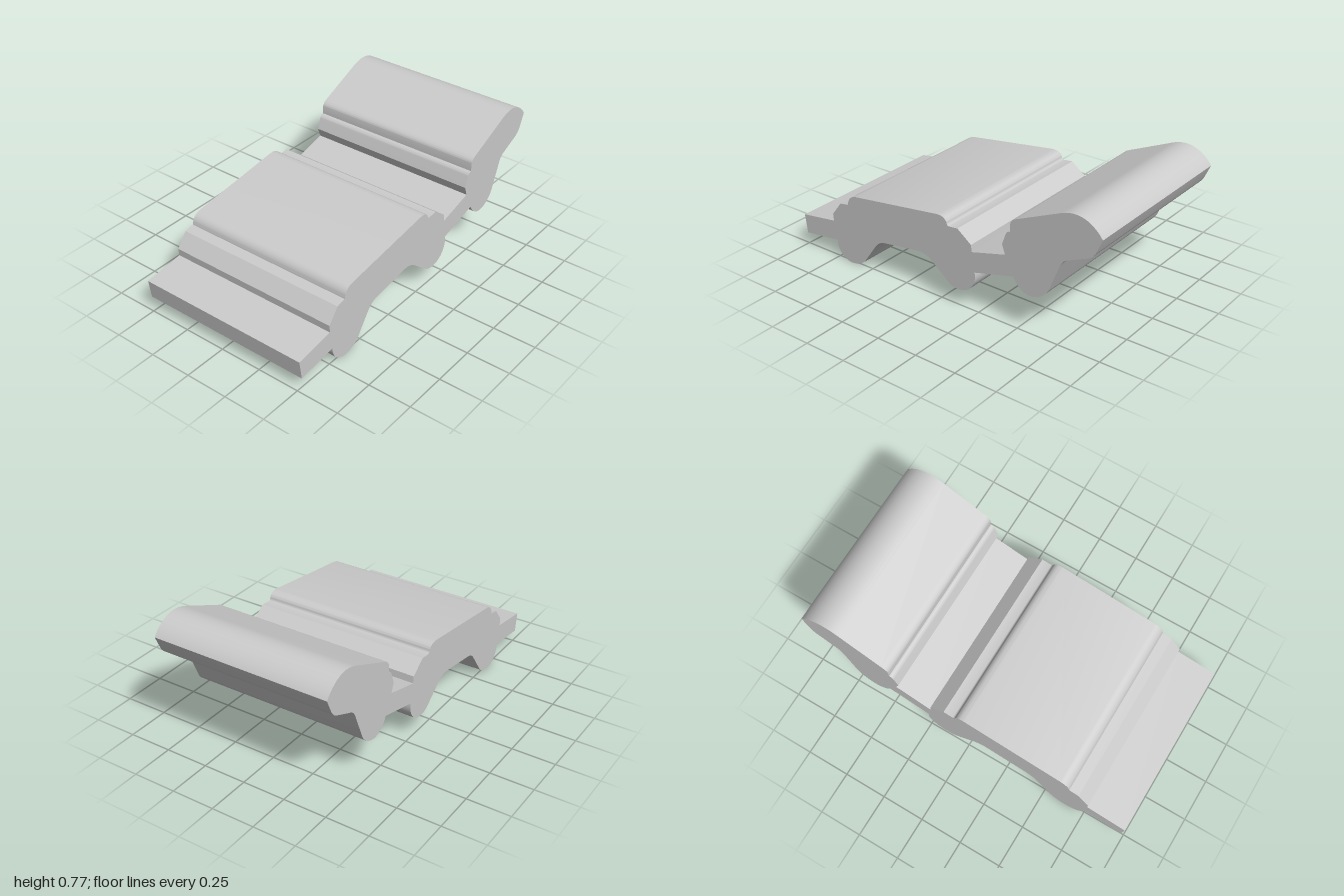
import * as THREE from 'three';
import { toCreasedNormals } from 'three/addons/utils/BufferGeometryUtils.js';

const DEPTH = 1.036;

// Each step is a straight line [x, y] or a rounded corner [controlX, controlY, x, y].
function drawOutline(start, ...runs) {
  const shape = new THREE.Shape();
  shape.moveTo(...start);
  for (const step of runs.flat()) {
    if (step.length === 2) shape.lineTo(...step);
    else shape.quadraticCurveTo(...step);
  }
  shape.closePath();
  return shape;
}

export function createModel() {
  // Top of the left tongue and the stepped shoulder
  const leftShoulder = [
    [-0.765, 0.225], [-0.768, 0.268], [-0.705, 0.35], [-0.647, 0.36],
    [-0.642, 0.413, -0.59, 0.425],
  ];
  // Long sloping deck, notch and right shoulder
  const deck = [
    [-0.01, 0.503], [0.045, 0.508, 0.058, 0.475], [0.06, 0.457, 0.075, 0.457],
    [0.13, 0.463], [0.218, 0.397], [0.222, 0.357],
  ];
  // Top of the connecting web, then up the stepped side of the raised lobe
  const lobeSide = [
    [0.435, 0.414], [0.416, 0.468], [0.438, 0.53], [0.445, 0.55, 0.465, 0.552],
    [0.466, 0.595], [0.467, 0.62, 0.505, 0.635],
  ];
  // Rounded crest of the lobe and back down to its foot
  const lobeCrest = [
    [0.76, 0.747], [0.855, 0.79, 0.935, 0.742], [0.975, 0.717, 1.0, 0.68],
    [0.966, 0.602], [0.95, 0.572, 0.925, 0.56], [0.815, 0.512],
    [0.78, 0.5, 0.765, 0.464], [0.702, 0.305], [0.685, 0.27, 0.645, 0.248],
    [0.58, 0.212, 0.525, 0.257], [0.502, 0.275, 0.487, 0.307],
  ];
  // Underside of the web, right foot and the arch
  const rightFoot = [
    [0.24, 0.243], [0.25, 0.187, 0.215, 0.146], [0.185, 0.107, 0.123, 0.107],
    [0.085, 0.107, 0.06, 0.128], [-0.05, 0.217],
    [-0.09, 0.248, -0.145, 0.242], [-0.38, 0.208],
    [-0.425, 0.202, -0.452, 0.165],
  ];
  // Left foot and underside of the tongue
  const leftFoot = [
    [-0.53, 0.056], [-0.565, 0.003, -0.645, 0], [-0.695, 0.003, -0.725, 0.042],
    [-0.747, 0.072, -0.745, 0.11], [-0.985, 0.08],
  ];

  const outline = drawOutline([-1, 0.192], leftShoulder, deck, lobeSide, lobeCrest, rightFoot, leftFoot);
  const geometry = new THREE.ExtrudeGeometry(outline, {
    depth: DEPTH, bevelEnabled: false, curveSegments: 10,
  });
  geometry.translate(0, 0, -DEPTH / 2);

  const body = new THREE.Mesh(
    toCreasedNormals(geometry, 0.4),
    new THREE.MeshStandardMaterial({ color: 0xcccccc }),
  );
  body.name = 'extrudedProfileBody';

  const model = new THREE.Group();
  model.name = 'profileBar';
  model.add(body);
  return model;
}
